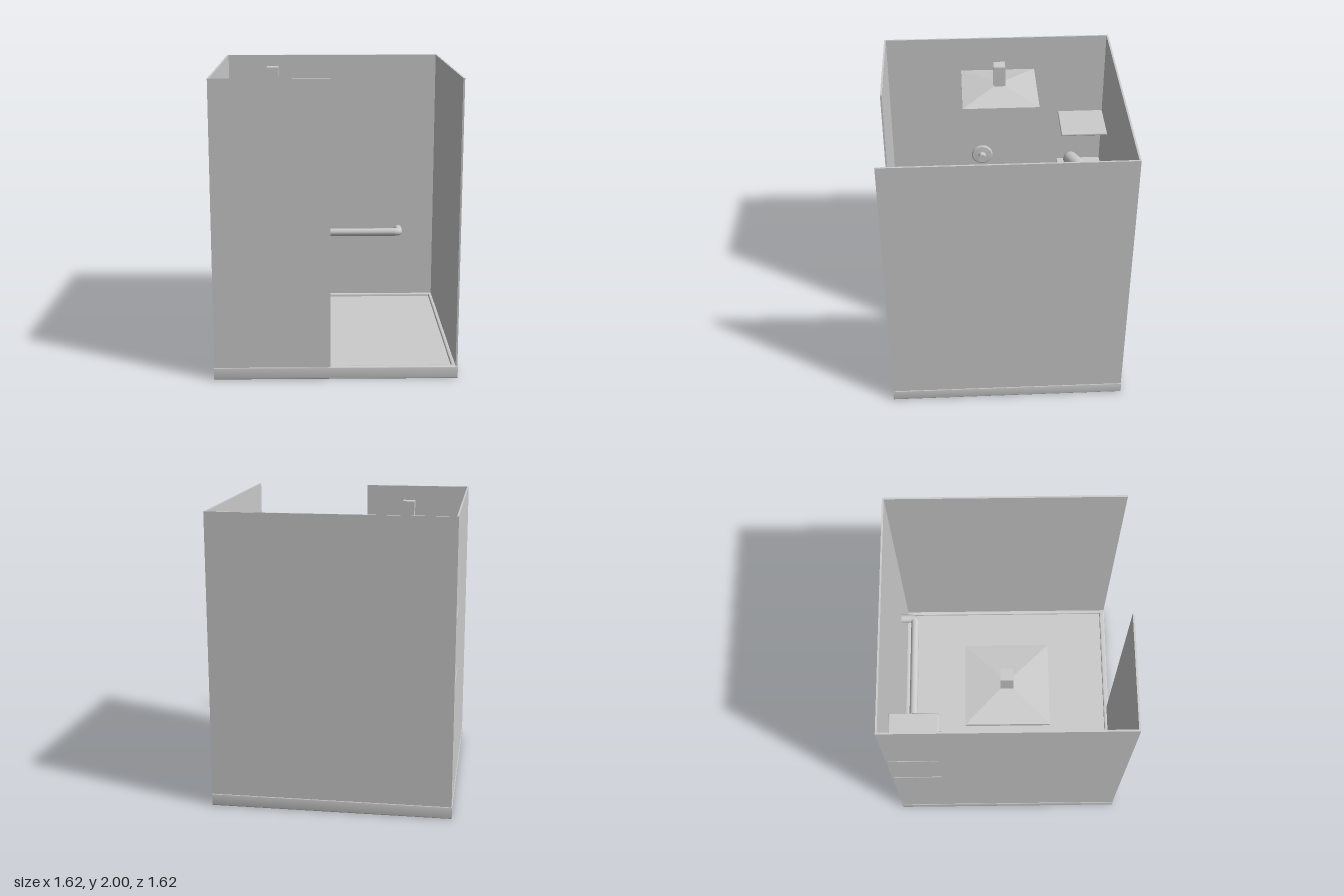
import * as THREE from 'three';
import { RoundedBoxGeometry } from 'three/addons/geometries/RoundedBoxGeometry.js';
import { toCreasedNormals } from 'three/addons/utils/BufferGeometryUtils.js';

const material = new THREE.MeshStandardMaterial({ color: 0xcccccc });

function add(parent, name, geometry, x = 0, y = 0, z = 0) {
  const mesh = new THREE.Mesh(geometry, material);
  mesh.name = name;
  mesh.position.set(x, y, z);
  parent.add(mesh);
  return mesh;
}

const box = (w, h, d) => new THREE.BoxGeometry(w, h, d);

// Square outline centred on the origin
function square(path, half) {
  path.moveTo(-half, -half);
  path.lineTo(half, -half);
  path.lineTo(half, half);
  path.lineTo(-half, half);
  path.closePath();
  return path;
}

// Smoothly turned profile with sharp edges kept
function turned(profile, segments = 32) {
  const points = profile.map(([r, h]) => new THREE.Vector2(r, h));
  return toCreasedNormals(new THREE.LatheGeometry(points, segments), 0.6);
}

function buildTray() {
  const tray = new THREE.Group();
  tray.name = 'tray';
  // Raised rim with rounded edges, open in the middle
  const bevel = 0.008;
  const shape = square(new THREE.Shape(), 0.81 - bevel);
  shape.holes.push(square(new THREE.Path(), 0.772 + bevel));
  const rim = new THREE.ExtrudeGeometry(shape, {
    depth: 0.085 - 2 * bevel, bevelEnabled: true, bevelSize: bevel,
    bevelThickness: bevel, bevelSegments: 3,
  });
  rim.translate(0, 0, bevel).rotateX(-Math.PI / 2);
  add(tray, 'trayRim', toCreasedNormals(rim, 0.6));
  // Floor sits below the rim and is hollow underneath
  add(tray, 'trayFloor', box(1.56, 0.015, 1.56), 0, 0.0575, 0);
  return tray;
}

function buildWalls() {
  const walls = new THREE.Group();
  walls.name = 'walls';
  const t = 0.012, outer = 0.807, bottom = 0.08;
  const h = 2 - bottom, y = bottom + h / 2, c = outer - t / 2;
  add(walls, 'leftWall', box(t, h, outer * 2), c, y, 0);
  add(walls, 'rightWall', box(t, h, outer * 2), -c, y, 0);
  add(walls, 'backWall', box(2 * (outer - t), h, t), 0, y, -c);
  const w = outer - t - 0.037;
  add(walls, 'frontPanel', box(w, h, t), -0.037 - w / 2, y, c);
  return walls;
}

function buildShowerHead() {
  const head = new THREE.Group();
  head.name = 'showerHead';
  head.position.set(-0.428, 0, -0.002);
  add(head, 'headPlate', box(0.528, 0.03, 0.528), 0, 1.785, 0);
  // Four-sided sloping cover
  const cover = new THREE.CylinderGeometry(0.04 * Math.SQRT2, 0.264 * Math.SQRT2, 0.04, 4)
    .rotateY(Math.PI / 4).toNonIndexed();
  cover.computeVertexNormals();
  add(head, 'headCover', cover, 0, 1.82, 0);
  add(head, 'headStem', box(0.08, 0.15, 0.08), 0, 1.915, 0);
  return head;
}

function buildBottle() {
  // Bottle lying diagonally on the lower shelf
  const bottle = new THREE.Group();
  bottle.name = 'bottle';
  add(bottle, 'bottleBody', turned([
    [0, 0], [0.04, 0], [0.05, 0.012], [0.055, 0.03], [0.055, 0.2],
    [0.05, 0.22], [0.035, 0.235], [0.022, 0.24], [0, 0.24],
  ]));
  add(bottle, 'bottleCap', turned([[0, 0.235], [0.022, 0.235], [0.022, 0.305], [0.018, 0.31], [0, 0.31]]));
  const axis = new THREE.Vector3(0.88, 0, -0.47).normalize();
  bottle.quaternion.setFromUnitVectors(new THREE.Vector3(0, 1, 0), axis);
  bottle.position.set(-0.46, 0.998, -0.69).addScaledVector(axis, -0.31);
  return bottle;
}

function buildHandrail() {
  // Bar with a bevelled elbow at each end, running back to the wall
  const z = -0.692, back = -0.797, left = -0.5, right = 0.52, cut = 0.035;
  const p = (x, zz) => new THREE.Vector3(x, 0.62, zz);
  const path = new THREE.CurvePath();
  const elbow = (a, b, c) => path.add(new THREE.QuadraticBezierCurve3(a, b, c));
  const line = (a, b) => path.add(new THREE.LineCurve3(a, b));
  line(p(left, back), p(left, z - cut));
  elbow(p(left, z - cut), p(left, z), p(left + cut, z));
  line(p(left + cut, z), p(right - cut, z));
  elbow(p(right - cut, z), p(right, z), p(right, z - cut));
  line(p(right, z - cut), p(right, back));
  return new THREE.TubeGeometry(path, 160, 0.03, 20, false);
}

export function createModel() {
  const model = new THREE.Group();
  model.name = 'showerCabin';
  model.add(buildTray(), buildWalls(), buildShowerHead(), buildBottle());

  // Two corner shelves, let slightly through the side wall
  for (const [name, y] of [['upperShelf', 1.36], ['lowerShelf', 0.932]]) {
    add(model, name, new RoundedBoxGeometry(0.335, 0.02, 0.337, 3, 0.008), -0.6425, y, -0.6285);
  }

  add(model, 'handrail', buildHandrail());

  // Mixer valve on the side wall: round plate, waist and flared knob
  const valve = add(model, 'mixerValve', turned([
    [0, 0], [0.08, 0], [0.08, 0.008], [0.072, 0.015], [0.028, 0.018],
    [0.024, 0.03], [0.032, 0.065], [0, 0.065],
  ]), -0.795, 1.0, 0.115);
  valve.rotation.z = -Math.PI / 2;

  return model;
}
